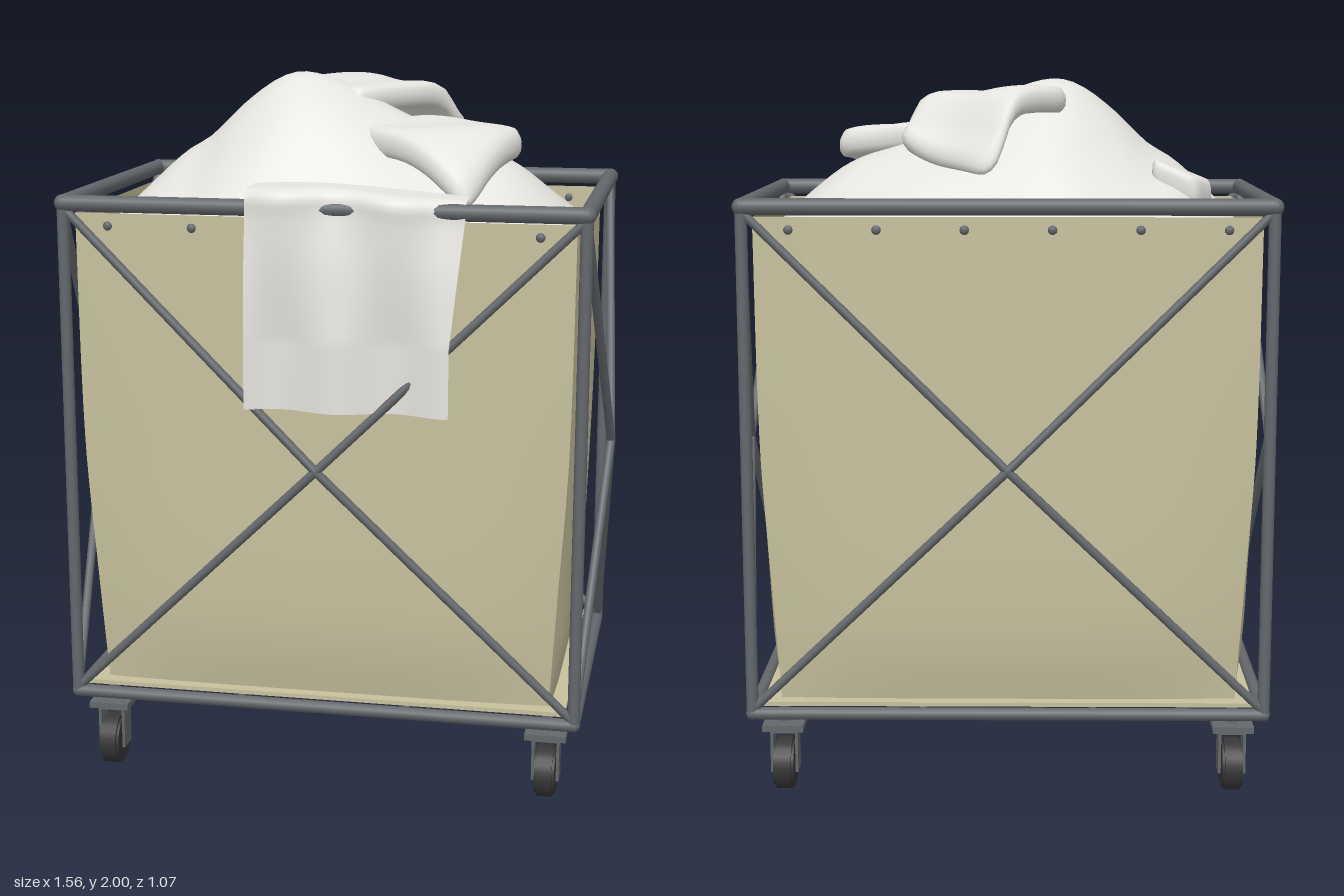
import * as THREE from 'three';
import { mergeVertices } from 'three/addons/utils/BufferGeometryUtils.js';

const mat = (name, color, side = THREE.FrontSide) => {
  const m = new THREE.MeshStandardMaterial({ color, side });
  m.name = name;
  return m;
};

// smooth interpolation through [x, y] pairs
function curve(pts, x) {
  if (x <= pts[0][0]) return pts[0][1];
  for (let i = 1; i < pts.length; i++) {
    const [x0, y0] = pts[i - 1], [x1, y1] = pts[i];
    if (x > x1) continue;
    const slope = (k) => {
      const a = pts[Math.max(k - 1, 0)], b = pts[Math.min(k + 1, pts.length - 1)];
      return (b[1] - a[1]) / (b[0] - a[0]);
    };
    const d = x1 - x0, t = (x - x0) / d, t2 = t * t, t3 = t2 * t;
    return (2 * t3 - 3 * t2 + 1) * y0 + (t3 - 2 * t2 + t) * d * slope(i - 1)
      + (3 * t2 - 2 * t3) * y1 + (t3 - t2) * d * slope(i);
  }
  return pts[pts.length - 1][1];
}

// move every vertex of a geometry by a rule
function warp(geo, rule) {
  const p = geo.attributes.position, v = new THREE.Vector3();
  for (let i = 0; i < p.count; i++) {
    rule(v.fromBufferAttribute(p, i));
    p.setXYZ(i, v.x, v.y, v.z);
  }
  geo.computeVertexNormals();
  return geo;
}

export function createModel() {
  const root = new THREE.Group();
  root.name = 'laundryCart';
  const metal = mat('greyMetal', 0x64686c);
  const rubber = mat('darkRubber', 0x363636);
  const canvas = mat('beigeCanvas', 0xc8c19e, THREE.DoubleSide);
  const linen = mat('whiteLinen', 0xe6e4df, THREE.DoubleSide);

  const group = (name, parent = root) => {
    const g = new THREE.Group();
    g.name = name;
    parent.add(g);
    return g;
  };
  const add = (parent, name, geo, material, x = 0, y = 0, z = 0) => {
    const m = new THREE.Mesh(geo, material);
    m.name = name;
    m.position.set(x, y, z);
    parent.add(m);
    return m;
  };
  const rod = (parent, name, a, b, r) => {
    const A = new THREE.Vector3(...a), B = new THREE.Vector3(...b);
    const m = add(parent, name, new THREE.CylinderGeometry(r, r, A.distanceTo(B), 12), metal);
    m.position.copy(A).add(B).multiplyScalar(0.5);
    m.quaternion.setFromUnitVectors(new THREE.Vector3(0, 1, 0), B.sub(A).normalize());
  };

  // the cart sits slightly behind centre because the towel hangs out in front
  const cart = group('cart');
  cart.position.set(-0.003, 0, -0.007);

  // tubular frame: rails, posts and ball corners
  const X = 0.716, Z = 0.464, TOP = 1.664, LOW = 0.247;
  const frame = group('frame', cart);
  for (const [y, r] of [[TOP, 0.023], [LOW, 0.018]]) {
    for (const s of [-1, 1]) {
      rod(frame, 'longRail', [-X, y, s * Z], [X, y, s * Z], r);
      rod(frame, 'endRail', [s * X, y, -Z], [s * X, y, Z], r);
      for (const t of [-1, 1])
        add(frame, 'corner', new THREE.SphereGeometry(r * 1.04, 12, 8), metal, s * X, y, t * Z);
    }
  }
  for (const s of [-1, 1]) {
    for (const t of [-1, 1]) rod(frame, 'post', [s * X, LOW, t * Z], [s * X, TOP, t * Z], 0.017);
    rod(frame, 'floorBar', [s * 0.24, LOW, -Z], [s * 0.24, LOW, Z], 0.011);
  }

  // crossed braces bowed outwards on all four sides
  const braces = group('braces', cart);
  for (const s of [-1, 1]) for (const t of [-1, 1]) for (const y of [LOW + 0.01, TOP - 0.012]) {
    rod(braces, 'longBrace', [s * X, y, t * Z], [0, 0.952, t * 0.517], 0.0125);
    rod(braces, 'endBrace', [s * X, y, t * Z], [s * 0.769, 0.952, 0], 0.0125);
  }

  // canvas bag: four bulging walls, pinched towards the bottom corners, and a wider floor
  const bag = group('bag', cart);
  const y0 = 0.268, y1 = 1.635, H = y1 - y0;
  const halfX = (y) => curve([[0.26, 0.64], [0.6, 0.66], [1, 0.683], [1.64, 0.69]], y);
  const halfZ = (y) => curve([[0.26, 0.4], [0.6, 0.42], [1, 0.433], [1.64, 0.438]], y);
  const bulge = (u, y) => (1 - u ** 4) * curve([[0.26, 0.008], [0.42, 0.028], [0.6, 0.026], [1, 0.01], [1.64, 0]], y);
  for (const s of [-1, 1]) {
    add(bag, 'longWall', warp(new THREE.PlaneGeometry(2, H, 20, 20), (v) => {
      const y = v.y + (y0 + y1) / 2, u = v.x;
      v.set(s * u * halfX(y), y, s * (halfZ(y) + bulge(u, y)));
    }), canvas);
    add(bag, 'endWall', warp(new THREE.PlaneGeometry(2, H, 16, 20), (v) => {
      const y = v.y + (y0 + y1) / 2, u = v.x;
      v.set(s * (halfX(y) + bulge(u, y)), y, -s * u * halfZ(y));
    }), canvas);
    // rivets under the rim
    for (let i = 0; i < 6; i++) {
      const r = add(bag, 'rivet', new THREE.SphereGeometry(0.013, 10, 6), metal, -0.597 + i * 0.238, 1.6, s * 0.441);
      r.scale.z = 0.7;
    }
  }
  add(bag, 'bagFloor', new THREE.BoxGeometry(1.38, 0.012, 0.89), canvas, 0, y0, 0);

  // casters
  for (const sx of [-1, 1]) for (const sz of [-1, 1]) {
    const c = group('caster', cart);
    c.position.set(sx * 0.636, 0, sz * 0.383);
    add(c, 'wheel', new THREE.CylinderGeometry(0.075, 0.075, 0.044, 24).rotateZ(Math.PI / 2), rubber, 0, 0.075);
    add(c, 'tread', new THREE.CylinderGeometry(0.066, 0.066, 0.058, 24).rotateZ(Math.PI / 2), rubber, 0, 0.075);
    for (const s of [-1, 1])
      add(c, 'fork', new THREE.BoxGeometry(0.008, 0.125, 0.064), metal, s * 0.035, 0.118, 0);
    add(c, 'forkCrown', new THREE.BoxGeometry(0.078, 0.012, 0.064), metal, 0, 0.176, 0);
    add(c, 'mountPlate', new THREE.BoxGeometry(0.116, 0.018, 0.116), metal, 0, 0.192, 0);
    add(c, 'stem', new THREE.CylinderGeometry(0.017, 0.017, 0.05, 12), metal, 0, 0.222, 0);
  }

  // heap of laundry
  const laundry = group('laundry');
  const ridge = [[-0.68, 1.58], [-0.57, 1.69], [-0.48, 1.77], [-0.4, 1.82], [-0.3, 1.915], [-0.2, 1.985],
    [-0.12, 2], [0, 1.965], [0.12, 1.905], [0.3, 1.82], [0.46, 1.76], [0.57, 1.68], [0.68, 1.58]];
  const slope = [[-0.43, 0.12], [-0.36, 0.38], [-0.25, 0.64], [-0.1, 0.9], [0.03, 1], [0.15, 0.88], [0.3, 0.52], [0.43, 0.12]];
  add(laundry, 'heap', warp(new THREE.PlaneGeometry(1.35, 0.845, 44, 30).rotateX(-Math.PI / 2).translate(-0.005, 0, -0.008), (v) => {
    const k = curve(slope, v.z);
    v.y = 1.5 + (curve(ridge, v.x) - 1.5) * k
      + 0.016 * Math.sin(v.x * 13 + v.z * 7) * Math.sin(v.z * 12 - v.x * 4) * (1 - k * k);
  }), linen);

  // folded pieces: rounded pads, corners [x, z] in the order back left, back right, front left, front right
  const pad = (name, [a, b, c, d], thick, height) => {
    const mix = (k, u, v) => (a[k] * (1 - u) + b[k] * u) * (1 - v) + (c[k] * (1 - u) + d[k] * u) * v;
    const box = new THREE.BoxGeometry(1, 1, 1, 14, 4, 14);
    box.deleteAttribute('normal');
    box.deleteAttribute('uv');
    add(laundry, name, warp(mergeVertices(box), (p) => {
      const edge = Math.max(Math.abs(p.x), Math.abs(p.z)) * 2;
      const trim = 1 - 0.1 * (4 * Math.abs(p.x * p.z)) ** 5 - 0.05 * Math.abs(p.y * 2) ** 3 * edge ** 6;
      const u = p.x * trim + 0.5, v = p.z * trim + 0.5;
      p.set(mix(0, u, v), height(u, v) + (p.y * (1 - 0.2 * edge ** 8) - 0.5) * thick, mix(1, u, v));
    }), linen);
  };
  pad('backCloth', [[0.04, -0.46], [0.32, -0.255], [-0.185, -0.16], [0.025, 0.115]], 0.075,
    (u, v) => curve([[0, 1.775], [0.1, 1.83], [0.25, 1.94], [0.45, 1.975], [1, 1.975]], v)
      + 0.12 * u * (1 - v) ** 5 - 0.02 * u * u + 0.006 * Math.sin(u * 8));
  pad('frontCloth', [[0.21, -0.05], [0.515, 0.04], [0.04, 0.165], [0.39, 0.4]], 0.085,
    (u, v) => 1.875 - 0.025 * v * v - 0.13 * (u * v) ** 3 - 0.035 * u ** 5
      + 0.02 * v * (1 - u) ** 3 + 0.005 * Math.sin(u * 7 + v * 5));
  pad('clothCorner', [[-0.53, -0.235], [-0.4, -0.21], [-0.585, -0.14], [-0.43, -0.065]], 0.08,
    (u, v) => 1.725 + 0.06 * u - 0.01 * v);

  // towel draped over the front rail, with folds that let the rail show through
  const path = [[0.33, 1.705], [0.36, 1.71], [0.42, 1.708], [0.465, 1.704], [0.488, 1.685], [0.491, 1.64],
    [0.505, 1.5], [0.511, 1.3], [0.514, 1.12]];
  const spine = new THREE.CatmullRomCurve3(path.map(([z, y]) => new THREE.Vector3(0, y, z)));
  add(laundry, 'drapedTowel', warp(new THREE.PlaneGeometry(1, 1, 30, 50), (p) => {
    const u = p.x + 0.5, q = spine.getPointAt(0.5 - p.y);
    const hang = THREE.MathUtils.clamp((1.66 - q.y) / 0.35, 0, 1) * (q.z > 0.48 ? 1 : 0);
    const over = THREE.MathUtils.clamp((q.z - 0.4) / 0.08, 0, 1) * (1 - hang);
    const x = -0.2 + u * (0.595 - 0.032 * hang);
    const wave = Math.cos((x - 0.05) / 0.31 * Math.PI * 2);
    const crest = 0.014 * Math.cos((x + 0.05) * 6) * (1 - hang);
    p.set(x, q.y + crest, q.z + wave * (hang * 0.02 - over * 0.02));
  }), linen);

  return root;
}
